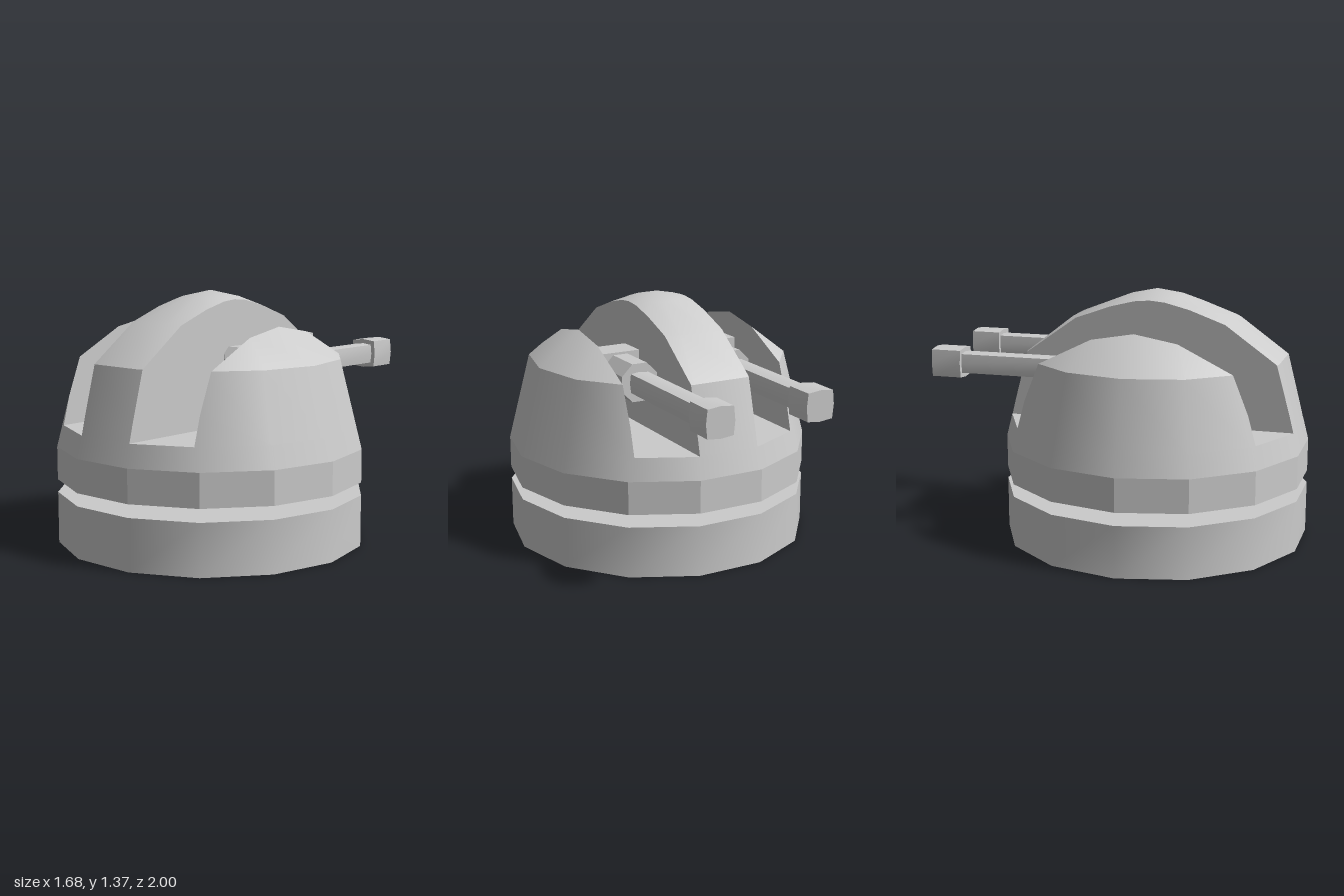
import * as THREE from 'three';
import { toCreasedNormals } from 'three/addons/utils/BufferGeometryUtils.js';

const SIDES = 14, R = 0.84, CZ = 0.18;
const FLOOR = 0.65, FIN = 0.175, CHEEK = 0.48;
const GUN_X = 0.29, GUN_Y = 0.956;

const smooth = new THREE.MeshStandardMaterial({ color: 0xcccccc });
const flat = new THREE.MeshStandardMaterial({ color: 0xcccccc, flatShading: true });

function add(parent, name, geometry, material, x = 0, y = 0, z = 0) {
  const mesh = new THREE.Mesh(geometry, material);
  mesh.name = name;
  mesh.position.set(x, y, z);
  parent.add(mesh);
  return mesh;
}

// Dome rings: radius, height, slope of the normal below and above the ring
const RINGS = [
  { r: R, y: 0.53, up: 14 },
  { r: 0.718, y: 1.01, down: 14, up: 52 },
  { r: 0.46, y: 1.21, down: 60, up: 60 },
  { r: 0.155, y: 1.33, down: 73, up: 73 },
  { r: 0, y: 1.365, down: 90 },
];

// A dome corner as position and normal in one array
function corner(ring, tilt, a) {
  const t = THREE.MathUtils.degToRad(tilt), c = Math.cos(a), s = Math.sin(a);
  return [ring.r * c, ring.y, CZ + ring.r * s, Math.cos(t) * c, Math.sin(t), Math.cos(t) * s];
}

function domeFaces() {
  const faces = [];
  for (let i = 0; i < RINGS.length - 1; i++) {
    const lo = RINGS[i], hi = RINGS[i + 1];
    for (let k = 0; k < SIDES; k++) {
      const a = (k / SIDES) * Math.PI * 2, b = ((k + 1) / SIDES) * Math.PI * 2;
      faces.push([corner(lo, lo.up, a), corner(hi, hi.down, a), corner(hi, hi.down, b), corner(lo, lo.up, b)]);
    }
  }
  return faces;
}

// Keep the part of a polygon where sign * (coordinate - value) >= 0
function clip(poly, [axis, value, sign]) {
  const out = [];
  poly.forEach((p, i) => {
    const q = poly[(i + 1) % poly.length];
    const dp = sign * (p[axis] - value), dq = sign * (q[axis] - value);
    if (dp >= 0) out.push(p);
    if (dp * dq < 0) out.push(p.map((v, j) => v + (q[j] - v) * dp / (dp - dq)));
  });
  return out;
}

// Flat convex cap closing the cut made by a plane
function cap(faces, [axis, value, sign]) {
  const normal = [0, 0, 0];
  normal[axis] = -sign;
  const pts = faces.flat().filter((p) => Math.abs(p[axis] - value) < 1e-6);
  const u = (axis + 1) % 3, v = (axis + 2) % 3;
  const mid = (j) => pts.reduce((sum, p) => sum + p[j], 0) / pts.length;
  const mu = mid(u), mv = mid(v);
  const angle = (p) => Math.atan2(p[v] - mv, p[u] - mu);
  pts.sort((p, q) => -sign * (angle(p) - angle(q)));
  return pts.map((p) => [...p.slice(0, 3), ...normal]);
}

// Piece of the dome cut out by planes, with its cut sides closed
function domePiece(planes) {
  let faces = domeFaces();
  for (const plane of planes) faces = faces.map((f) => clip(f, plane)).filter((f) => f.length > 2);
  const caps = planes.filter(([axis, , sign]) => axis === 0 || sign < 0).map((p) => cap(faces, p));
  const position = [], normal = [];
  const vec = (p) => new THREE.Vector3(p[0], p[1], p[2]);
  for (const f of [...faces, ...caps]) {
    for (let i = 1; i < f.length - 1; i++) {
      const tri = [f[0], f[i], f[i + 1]];
      if (new THREE.Triangle(...tri.map(vec)).getArea() < 1e-9) continue;
      for (const p of tri) {
        position.push(p[0], p[1], p[2]);
        normal.push(...new THREE.Vector3(p[3], p[4], p[5]).normalize().toArray());
      }
    }
  }
  const g = new THREE.BufferGeometry();
  g.setAttribute('position', new THREE.Float32BufferAttribute(position, 3));
  g.setAttribute('normal', new THREE.Float32BufferAttribute(normal, 3));
  return g;
}

function drum(height) {
  return new THREE.CylinderGeometry(R, R, height, SIDES, 1, false, Math.PI / SIDES);
}

// Square bar along z whose four sides bulge slightly
function bulgedBar(half, bulge, z0, z1) {
  const pts = [];
  for (let i = 0; i < 8; i++) {
    const a = (i * Math.PI) / 4, r = i % 2 ? half * Math.SQRT2 : bulge;
    pts.push(new THREE.Vector2(r * Math.cos(a), r * Math.sin(a)));
  }
  const g = new THREE.ExtrudeGeometry(new THREE.Shape(pts), { depth: z1 - z0, bevelEnabled: false });
  return toCreasedNormals(g.translate(0, 0, z0), 0.6);
}

// Block with a tapered +z end
function breechGeometry() {
  const w = 0.3, h = 0.235, taper = 0.06;
  const g = new THREE.BoxGeometry(w, h, 0.23, 1, 1, 2);
  const p = g.attributes.position;
  for (let i = 0; i < p.count; i++) {
    const z = p.getZ(i);
    if (z > 0.1) p.setXY(i, p.getX(i) * (1 - 2 * taper / w), p.getY(i) * (1 - 2 * taper / h));
    else if (z > -0.1) p.setZ(i, 0.115 - taper);
  }
  return g;
}

function makeGun(side) {
  const gun = new THREE.Group();
  gun.name = side > 0 ? 'leftGun' : 'rightGun';
  gun.position.set(side * GUN_X, GUN_Y, 0);
  add(gun, 'breech', breechGeometry(), flat, 0, 0, 0.175);
  const sleeve = new THREE.CylinderGeometry(0.113, 0.113, 0.235, 8, 1, false, Math.PI / 8);
  add(gun, 'sleeve', sleeve.rotateX(Math.PI / 2), flat, 0, 0, -0.0475);
  add(gun, 'barrel', bulgedBar(0.052, 0.058, -0.84, -0.15), smooth);
  add(gun, 'muzzle', bulgedBar(0.074, 0.082, -1, -0.835), smooth);
  return gun;
}

export function createModel() {
  const model = new THREE.Group();
  model.name = 'gunTurret';

  // Fixed base, separated from the turret by a gap
  add(model, 'base', toCreasedNormals(drum(0.28), 0.6), smooth, 0, 0.14, CZ);

  // Rotating turret
  const turret = new THREE.Group();
  turret.name = 'turret';
  model.add(turret);
  add(turret, 'turretRing', drum(0.18), flat, 0, 0.44, CZ);
  add(turret, 'domeSkirt', domePiece([[1, FLOOR, -1]]), smooth);
  add(turret, 'centreFin', domePiece([[1, FLOOR, 1], [0, -FIN, 1], [0, FIN, -1]]), smooth);
  for (const side of [1, -1]) {
    const name = side > 0 ? 'leftCheek' : 'rightCheek';
    add(turret, name, domePiece([[1, FLOOR, 1], [0, side * CHEEK, side]]), smooth);
    turret.add(makeGun(side));
  }
  return model;
}
